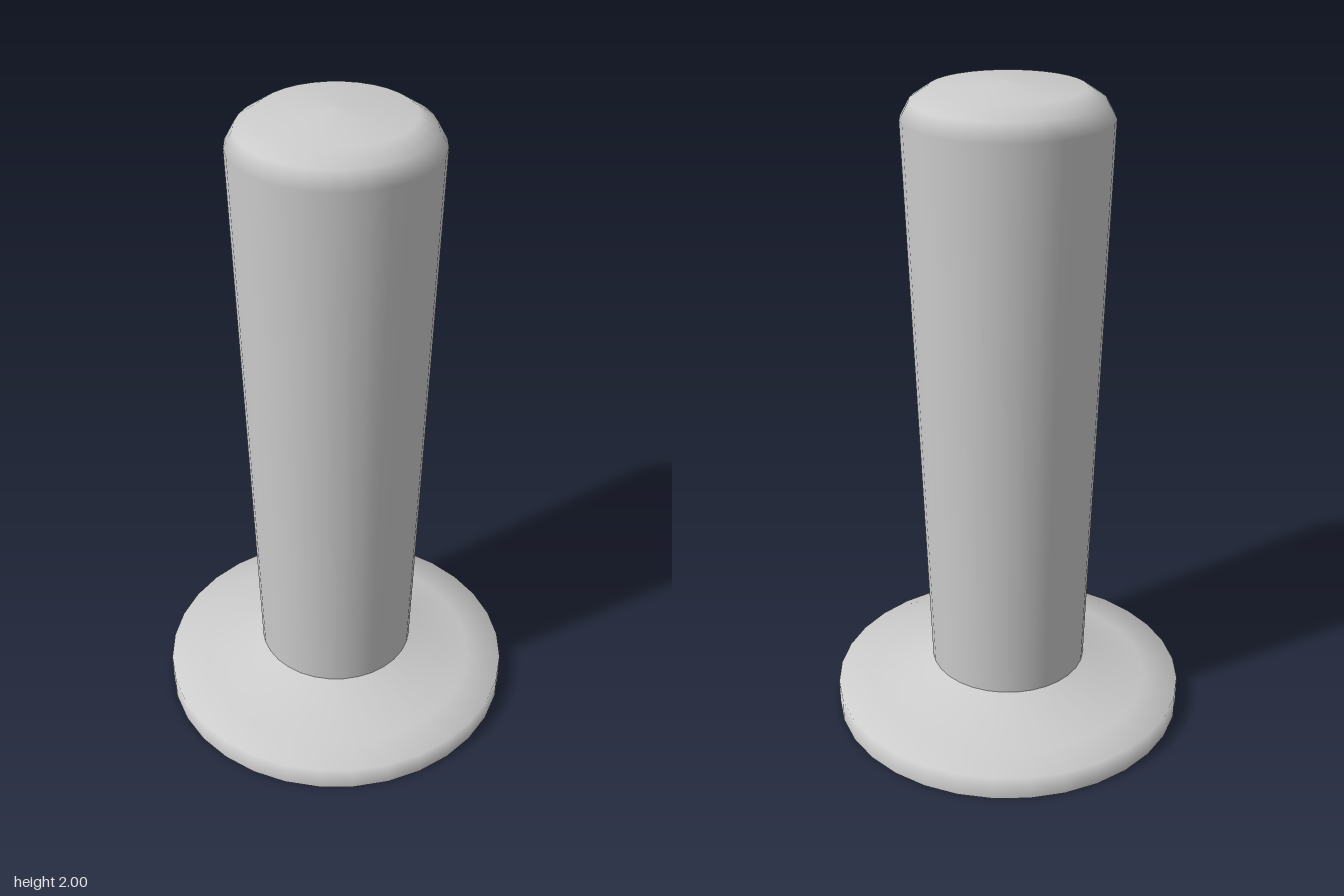
import * as THREE from 'three';

// Open shell turned around the y axis from [radius, height] pairs
function turned(name, profile, material) {
  const points = profile.map(([r, y]) => new THREE.Vector2(r, y));
  const mesh = new THREE.Mesh(new THREE.LatheGeometry(points, 32), material);
  mesh.name = name;
  return mesh;
}

export function createModel() {
  const group = new THREE.Group();
  group.name = 'flangedPeg';
  const material = new THREE.MeshStandardMaterial({ color: 0xcccccc, side: THREE.DoubleSide });

  // Hollow foot: short rim, flat ledge and sloping collar, open underneath
  group.add(turned('baseFlange', [[0.55, 0], [0.55, 0.075], [0.44, 0.08], [0.243, 0.16]], material));

  // Tapered hollow shaft that widens upward to a rounded, slightly domed end
  group.add(turned('shaft', [
    [0.243, 0.16], [0.3, 1.9], [0.273, 1.95], [0.22, 1.985], [0, 2],
  ], material));

  return group;
}
